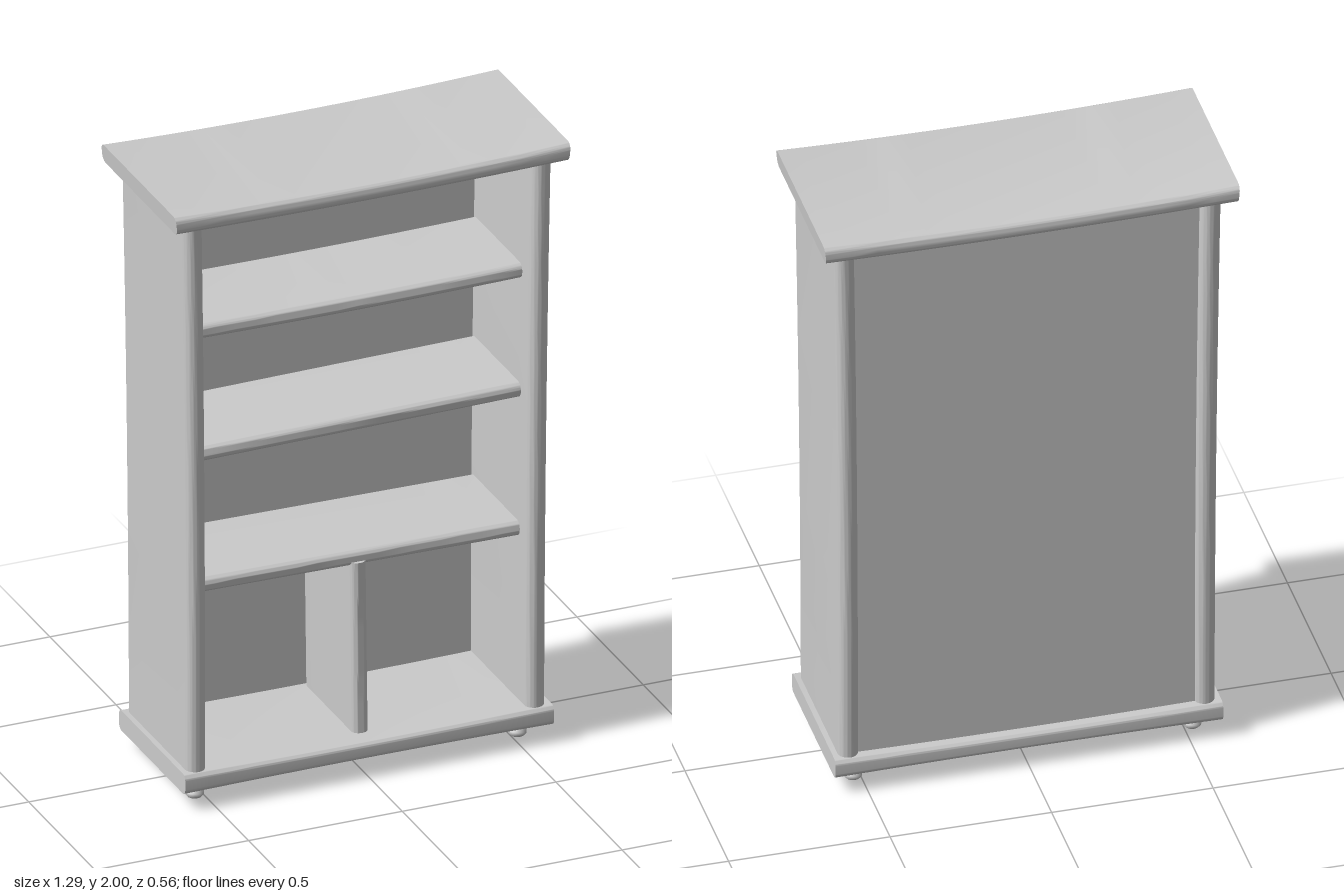
import * as THREE from 'three';
import { toCreasedNormals } from 'three/addons/utils/BufferGeometryUtils.js';

const material = new THREE.MeshStandardMaterial({ color: 0xcccccc });

function add(group, name, geometry) {
  const mesh = new THREE.Mesh(geometry, material);
  mesh.name = name;
  group.add(mesh);
  return mesh;
}

// Rounded rectangle a by b, extruded along z and centred on the origin
function roundedBar(a, b, length, r) {
  const x = a / 2, y = b / 2;
  const s = new THREE.Shape();
  s.moveTo(-x + r, -y);
  s.lineTo(x - r, -y);
  s.absarc(x - r, -y + r, r, -Math.PI / 2, 0);
  s.lineTo(x, y - r);
  s.absarc(x - r, y - r, r, 0, Math.PI / 2);
  s.lineTo(-x + r, y);
  s.absarc(-x + r, y - r, r, Math.PI / 2, Math.PI);
  s.lineTo(-x, -y + r);
  s.absarc(-x + r, -y + r, r, Math.PI, Math.PI * 1.5);
  const g = new THREE.ExtrudeGeometry(s, { depth: length, steps: 16, curveSegments: 6, bevelEnabled: false });
  return g.translate(0, 0, -length / 2);
}

// Reorders the axes of a bar, then bends it with a rule on each vertex
function shape(geometry, rule) {
  const p = geometry.attributes.position;
  const v = new THREE.Vector3();
  for (let i = 0; i < p.count; i++) {
    rule(v.fromBufferAttribute(p, i));
    p.setXYZ(i, v.x, v.y, v.z);
  }
  return toCreasedNormals(geometry, 0.7);
}

// Board along x: thickness in y, depth in z
function board(length, thick, depth, r, bend) {
  return shape(roundedBar(thick, depth, length, r), v => {
    v.set(v.z, v.x, v.y);
    bend(v);
  });
}

// Upright along y: thickness in x, depth in z
function upright(height, thick, depth, r, bend) {
  return shape(roundedBar(depth, thick, height, r), v => {
    v.set(v.y, v.z, v.x);
    bend(v);
  });
}

export function createModel() {
  const bookcase = new THREE.Group();
  bookcase.name = 'bookcase';

  // Sagging top board, its upper face dipping more than its underside
  add(bookcase, 'topBoard', board(1.28, 0.06, 0.565, 0.022, v => {
    const middle = 1 - (v.x / 0.64) ** 2;
    v.x *= 1 + v.y * 0.15;
    v.y -= middle * (v.y > 0 ? 0.013 : 0.007);
  })).position.y = 1.97;

  // Base board, pinched thinner at the middle
  add(bookcase, 'baseBoard', board(1.2, 0.066, 0.5, 0.018, v => {
    v.y *= 1 - 0.16 * (1 - (v.x / 0.6) ** 2);
  })).position.set(0, 0.09, 0.004);

  // Sides flare gently outward towards the top
  for (const side of [1, -1]) {
    add(bookcase, side > 0 ? 'leftSide' : 'rightSide', upright(1.84, 0.062, 0.475, 0.029, v => {
      const t = v.y / 1.84 + 0.5;
      v.x += side * (0.552 + 0.016 * t * t);
      v.z *= 1 + 0.055 * t;
    })).position.set(0, 1.03, 0.004);
  }

  // Back panel, set in from the rear edges
  add(bookcase, 'backPanel', new THREE.BoxGeometry(1.08, 1.84, 0.02)).position.set(0, 1.03, -0.2);

  // Shelves with slight tilt and sag: height, tilt, sag
  const shelves = [[0.695, -0.006, 0], [1.143, 0.007, 0], [1.546, 0, 0.005]];
  for (const [y, tilt, sag] of shelves) {
    add(bookcase, 'shelf', board(1.07, 0.05, 0.37, 0.023, v => {
      const u = v.x / 0.535;
      v.y += tilt * u - sag * (1 - u * u);
    })).position.set(0, y, -0.01);
  }

  // Divider below the lowest shelf, leaning a little
  add(bookcase, 'divider', upright(0.58, 0.052, 0.38, 0.024, v => {
    v.x -= v.y * 0.012;
  })).position.set(0.002, 0.395, -0.005);

  // Turned feet
  const profile = [[0, 0], [0.022, 0], [0.028, 0.007], [0.028, 0.016], [0.021, 0.023], [0.017, 0.03],
    [0.024, 0.034], [0.033, 0.04], [0.033, 0.048], [0.022, 0.054], [0.018, 0.07]]
    .map(([r, y]) => new THREE.Vector2(r, y));
  for (const x of [-0.527, 0.523]) {
    for (const z of [-0.158, 0.155]) {
      add(bookcase, 'foot', new THREE.LatheGeometry(profile, 20)).position.set(x, 0, z);
    }
  }

  return bookcase;
}
